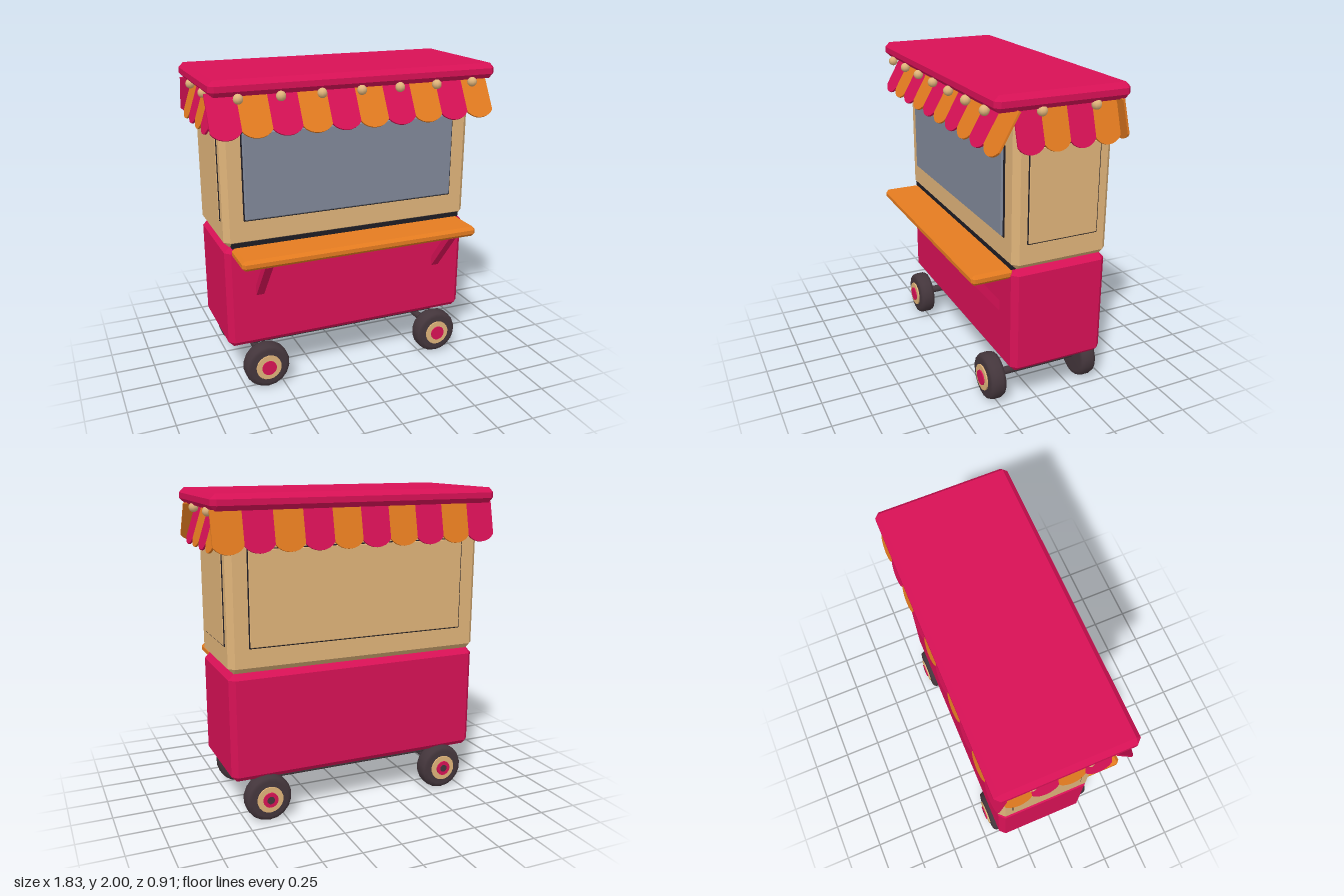
import * as THREE from 'three';
import { ConvexGeometry } from 'three/addons/geometries/ConvexGeometry.js';

const mat = (name, color) => {
  const m = new THREE.MeshStandardMaterial({ color });
  m.name = name;
  return m;
};

export function createModel() {
  const magenta = mat('magenta paint', 0xd81156);
  const orange = mat('orange paint', 0xe57c20);
  const tan = mat('tan panel', 0xe0b47a);
  const glass = mat('blue grey glass', 0x808899);
  const rubber = mat('dark rubber', 0x44363c);
  const black = mat('black trim', 0x1e1c24);
  const root = new THREE.Group();
  root.name = 'foodCart';

  const add = (name, geometry, material, parent = root) => {
    const m = new THREE.Mesh(geometry, material);
    m.name = name;
    parent.add(m);
    return m;
  };

  // Box with every edge chamfered by c, given by its limits
  const block = (name, material, [x0, x1], [y0, y1], [z0, z1], c) => {
    const h = [(x1 - x0) / 2, (y1 - y0) / 2, (z1 - z0) / 2];
    const pts = [];
    for (const sx of [-1, 1]) for (const sy of [-1, 1]) for (const sz of [-1, 1])
      for (let k = 0; k < 3; k++) {
        const i = h.map((v, n) => (n === k ? v : v - c));
        pts.push(new THREE.Vector3(sx * i[0], sy * i[1], sz * i[2]));
      }
    const m = add(name, new ConvexGeometry(pts), material);
    m.position.set((x0 + x1) / 2, (y0 + y1) / 2, (z0 + z1) / 2);
    return m;
  };

  // Main volumes
  block('lowerBody', magenta, [-0.832, 0.832], [0.275, 0.955], [-0.405, 0.217], 0.035);
  block('upperBody', tan, [-0.832, 0.832], [0.955, 1.92], [-0.405, 0.217], 0.035);
  block('roof', magenta, [-0.915, 0.915], [1.905, 2], [-0.455, 0.372], 0.03);
  block('chassis', rubber, [-0.66, 0.66], [0.235, 0.285], [-0.32, 0.13], 0.008);
  block('counter', orange, [-0.79, 0.79], [0.89, 0.955], [0.19, 0.455], 0.02);
  block('counterGasket', black, [-0.79, 0.79], [0.95, 0.988], [0.17, 0.215], 0.004);

  // Window and wall panels, each on a dark backing
  block('windowFrame', black, [-0.71, 0.71], [1.12, 1.675], [0.2, 0.226], 0.006);
  block('windowGlass', glass, [-0.703, 0.703], [1.127, 1.668], [0.21, 0.236], 0.008);
  block('backPanelTrim', black, [-0.71, 0.71], [1.105, 1.69], [-0.411, -0.38], 0.004);
  block('backPanel', tan, [-0.704, 0.704], [1.111, 1.684], [-0.415, -0.39], 0.004);
  for (const s of [-1, 1]) {
    const span = (a, b) => (s > 0 ? [a, b] : [-b, -a]);
    block('sidePanelTrim', black, span(0.8, 0.837), [1.11, 1.683], [-0.323, 0.135], 0.004);
    block('sidePanel', tan, span(0.81, 0.841), [1.116, 1.677], [-0.317, 0.129], 0.004);
  }

  // Counter brackets
  for (const x of [-0.623, 0.623]) {
    const dy = 0.25, dz = 0.2;
    const b = add('counterBracket', new THREE.BoxGeometry(0.05, Math.hypot(dy, dz) + 0.02, 0.045), magenta);
    b.position.set(x, 0.77, 0.31);
    b.rotation.x = Math.atan2(dz, dy);
  }

  // Scalloped awning: striped strip sloping outward on each side
  const awning = (name, width, count, drop, out, flip, turn, x, z) => {
    const g = new THREE.Group();
    g.name = name;
    const w = width / count, len = Math.hypot(drop, out), side = len - 0.045;
    const shape = new THREE.Shape();
    shape.moveTo(-w / 2, 0);
    shape.lineTo(-w / 2, -side);
    shape.bezierCurveTo(-w * 0.28, -len - 0.015, w * 0.28, -len - 0.015, w / 2, -side);
    shape.lineTo(w / 2, 0);
    const geo = new THREE.ExtrudeGeometry(shape, { depth: 0.012, bevelEnabled: false, curveSegments: 8 });
    geo.translate(0, 0, -0.006);
    geo.rotateX(-Math.atan2(out, drop));
    for (let i = 0; i < count; i++) {
      const m = add('awningStripe', geo, (i + (flip ? 1 : 0)) % 2 ? orange : magenta, g);
      m.position.x = (i + 0.5) * w - width / 2;
    }
    g.rotation.y = turn;
    g.position.set(x, 1.91, z);
    root.add(g);
  };
  awning('frontAwning', 1.83, 10, 0.245, 0.14, false, 0, 0, 0.235);
  awning('backAwning', 1.83, 10, 0.245, 0.055, true, Math.PI, 0, -0.398);
  awning('leftAwning', 0.635, 4, 0.245, 0.08, false, Math.PI / 2, 0.83, -0.082);
  awning('rightAwning', 0.635, 4, 0.245, 0.08, true, -Math.PI / 2, -0.83, -0.082);

  // Light bulbs under the roof edge
  const bulbGeo = new THREE.SphereGeometry(0.03, 10, 8);
  const bulb = (x, z) => add('lightBulb', bulbGeo, tan).position.set(x, 1.893, z);
  for (let i = -3; i <= 3; i++) bulb(i * 0.25, 0.362);
  for (const x of [-0.885, 0.885]) for (const z of [0.09, -0.243]) bulb(x, z);

  // Wheels with hubs, and axles
  const tyreGeo = new THREE.LatheGeometry(
    [[0, -0.053], [0.115, -0.053], [0.138, -0.046], [0.148, -0.025], [0.148, 0.025],
      [0.138, 0.046], [0.115, 0.053], [0, 0.053]].map(([r, y]) => new THREE.Vector2(r, y)), 18);
  const disc = (r, d) => new THREE.CylinderGeometry(r, r, d, 18);
  for (const x of [-0.61, 0.61]) {
    for (const s of [1, -1]) {
      const wheel = new THREE.Group();
      wheel.name = 'wheel';
      add('tyre', tyreGeo, rubber, wheel);
      add('hub', disc(0.083, 0.02), tan, wheel).position.y = 0.052;
      add('hubCap', disc(0.048, 0.02), magenta, wheel).position.y = 0.06;
      if (s < 0) add('hubBolt', disc(0.024, 0.006), rubber, wheel).position.y = 0.069;
      wheel.rotation.x = s * Math.PI / 2;
      wheel.position.set(x, 0.15, s > 0 ? 0.259 : -0.379);
      root.add(wheel);
    }
    const axle = add('axle', new THREE.CylinderGeometry(0.025, 0.025, 0.6, 12), rubber);
    axle.rotation.x = Math.PI / 2;
    axle.position.set(x, 0.155, -0.06);
  }
  return root;
}
